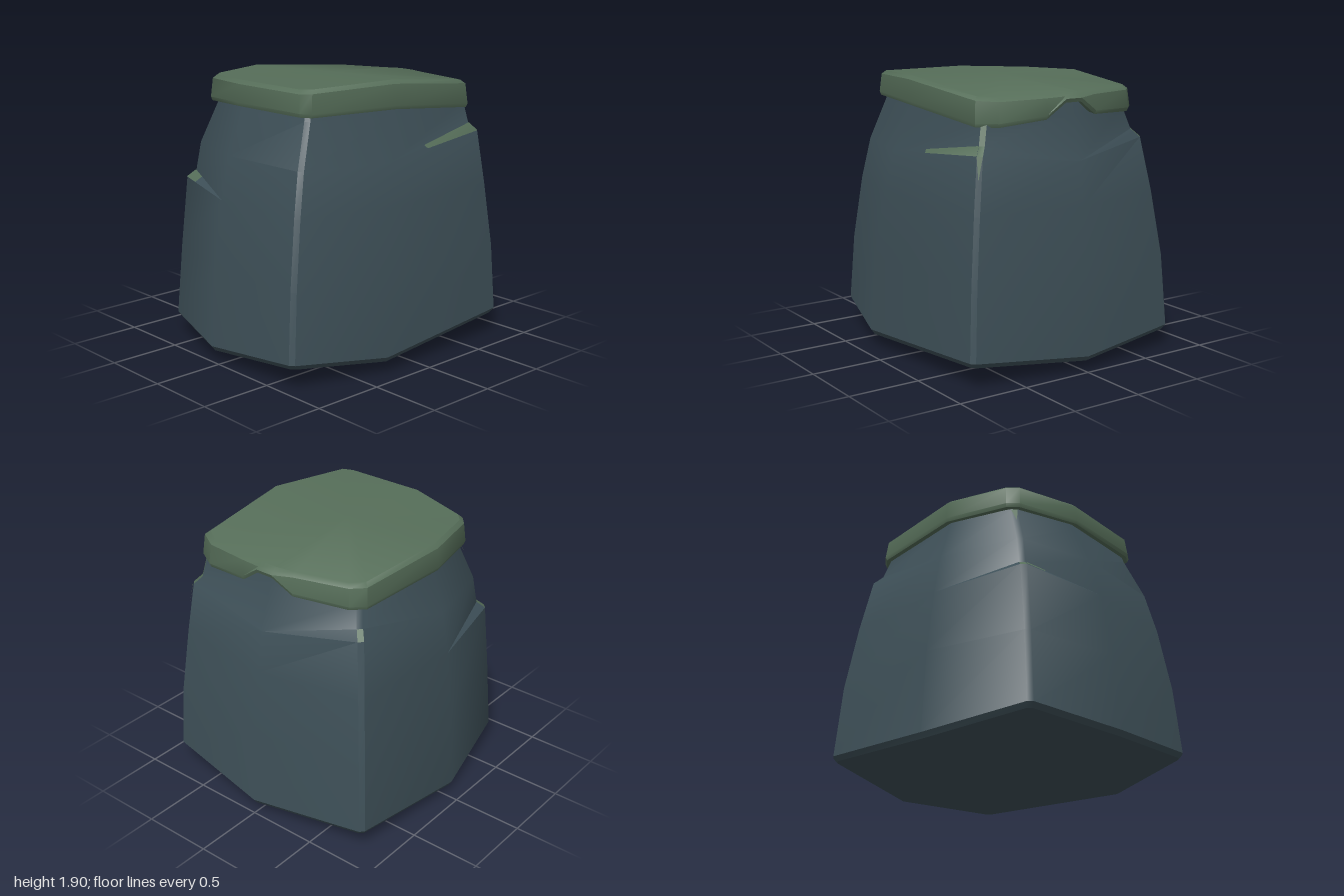
import * as THREE from 'three';
import { toCreasedNormals } from 'three/addons/utils/BufferGeometryUtils.js';

const lerp = THREE.MathUtils.lerp;

// Horizontal taper of the boulder: [height, share of the way from base to top outline]
const TAPER = [[0, 0], [0.2, 0], [0.65, 0.13], [1.1, 0.37], [1.47, 0.66], [1.68, 1], [1.8, 1.12]];
function taper(y) {
  for (let i = 1; i < TAPER.length; i++) {
    const [y0, s0] = TAPER[i - 1], [y1, s1] = TAPER[i];
    if (y <= y1) return lerp(s0, s1, (y - y0) / (y1 - y0));
  }
  return 1.12;
}

// Eight columns around the boulder, starting front right and running to the left.
// base and top are [x, z]; low and high are ledges as [y under, y over, scale under, scale over]
const plainLow = [1.1, 1.1, 1, 1], plainHigh = [1.39, 1.39, 1, 1];
const ledge = [1.47, 1.525, 1.015, 0.975];
const COLUMNS = [
  { base: [-0.97, 0.71], top: [-0.68, 0.54], y: 0.18, corner: true },
  { base: [-0.3, 0.9], top: [-0.06, 0.69], y: 0.12 },
  { base: [0.88, 0.83], top: [0.715, 0.63], y: 0.18, corner: true, high: ledge },
  { base: [1, 0], top: [0.785, -0.02], y: 0.11 },
  { base: [0.85, -0.83], top: [0.6, -0.6], y: 0.15, corner: true, high: ledge },
  { base: [-0.06, -0.91], top: [-0.06, -0.68], y: 0.08 },
  { base: [-0.8, -0.74], top: [-0.53, -0.56], y: 0.15, corner: true, low: [1.14, 1.19, 1.04, 0.985] },
  { base: [-1, -0.07], top: [-0.68, -0.1], y: 0.11 },
];

// Split each corner column in two to bevel the upright edges
function bevelColumns() {
  const shift = (a, b, d) => {
    const l = Math.hypot(b[0] - a[0], b[1] - a[1]);
    return [a[0] + (b[0] - a[0]) * d / l, a[1] + (b[1] - a[1]) * d / l];
  };
  return COLUMNS.flatMap((c, i) => {
    if (!c.corner) return [{ ...c, id: i }];
    return [COLUMNS[(i + 7) % 8], COLUMNS[(i + 1) % 8]].map((n, k) => ({
      ...c, id: i, first: k === 0,
      base: shift(c.base, n.base, 0.025), top: shift(c.top, n.top, 0.025),
    }));
  });
}

function at(c, y, scale = 1) {
  const s = taper(y);
  return new THREE.Vector3(lerp(c.base[0], c.top[0], s) * scale, y, lerp(c.base[1], c.top[1], s) * scale);
}

function triangle(list, a, b, c) {
  const area = b.clone().sub(a).cross(c.clone().sub(a)).length();
  if (area > 1e-7) for (const p of [a, b, c]) list.push(p.x, p.y, p.z);
}

// Join rings of points from bottom to top; pick chooses the face list for each quad
function loft(rings, pick) {
  for (let i = 0; i < rings.length - 1; i++) {
    const n = rings[i].length;
    for (let j = 0; j < n; j++) {
      const k = (j + 1) % n, list = pick(i, j);
      triangle(list, rings[i][j], rings[i][k], rings[i + 1][k]);
      triangle(list, rings[i][j], rings[i + 1][k], rings[i + 1][j]);
    }
  }
}

function fan(list, ring, centre, up) {
  ring.forEach((p, j) => {
    const q = ring[(j + 1) % ring.length];
    if (up) triangle(list, p, q, centre);
    else triangle(list, q, p, centre);
  });
}

function mesh(name, list, material) {
  const g = new THREE.BufferGeometry();
  g.setAttribute('position', new THREE.Float32BufferAttribute(list, 3));
  const m = new THREE.Mesh(toCreasedNormals(g, 0.6), material);
  m.name = name;
  return m;
}

export function createModel() {
  const group = new THREE.Group();
  group.name = 'mossyBoulder';
  const stone = new THREE.MeshStandardMaterial({ name: 'slateStone', color: 0x3e5058 });
  const moss = new THREE.MeshStandardMaterial({ name: 'moss', color: 0x566e59 });

  // Boulder body with ledges broken out of three corners
  const stoneFaces = [], mossFaces = [];
  const cols = bevelColumns();
  const stacks = cols.map((c) => {
    const lo = c.low || plainLow, hi = c.high || plainHigh;
    const sunk = at(c, c.y);
    sunk.set(sunk.x * 0.975, c.y - 0.035, sunk.z * 0.975);
    return [sunk, at(c, c.y), at(c, 0.65), at(c, lo[0], lo[2]), at(c, lo[1], lo[3]),
      at(c, hi[0], hi[2]), at(c, hi[1], hi[3]), at(c, 1.68), at(c, 1.78)];
  });
  const rings = stacks[0].map((_, i) => stacks.map((s) => s[i]));
  loft(rings, (i, j) => {
    const c = cols[j];
    const mossy = c.first && ((c.id === 2 && i >= 5) || (c.id === 6 && i === 3) || (c.id === 4 && i === 5));
    return mossy ? mossFaces : stoneFaces;
  });
  fan(stoneFaces, rings[0], new THREE.Vector3(-0.1, 0, -0.03), false);
  group.add(mesh('boulder', stoneFaces, stone));

  // Moss slivers lying along the ledges and running down the front corner
  function sliver(corner, neighbour, level, reach) {
    const a = stacks[corner][level], b = stacks[corner][level + 1];
    const out = b.clone().setY(0).normalize().multiplyScalar(0.003).setY(0.003);
    const [p, q, r, s] = [a, b, b.clone().lerp(stacks[neighbour][level + 1], reach),
      a.clone().lerp(stacks[neighbour][level], reach)].map((v) => v.clone().add(out));
    if (neighbour < corner) {
      triangle(mossFaces, s, p, q);
      triangle(mossFaces, s, q, r);
    } else {
      triangle(mossFaces, p, s, r);
      triangle(mossFaces, p, r, q);
    }
  }
  const find = (id, first) => cols.findIndex((c) => c.id === id && (c.first ?? true) === first);
  const frontCorner = find(2, true), backCorner = find(6, false);
  sliver(frontCorner, find(1, true), 5, 0.6);
  sliver(backCorner, find(7, true), 3, 0.25);

  function drip(j, yTop, yBottom, scale) {
    const p = at(cols[j], yTop, scale), q = at(cols[j + 1], yTop, scale);
    const r = at(cols[j], yBottom, scale).lerp(at(cols[j + 1], yBottom, scale), 0.5);
    triangle(mossFaces, r, q, p);
  }
  drip(frontCorner, 1.47, 1.32, 1.02);
  drip(find(6, true), 1.68, 1.56, 1.012);
  group.add(mesh('mossStreaks', mossFaces, moss));

  // Moss cap: [x, z, lower edge height, upper edge height]
  const rim = [
    [-0.7, 0.5, 1.71, 1.88], [-0.66, 0.57, 1.71, 1.885], [-0.06, 0.705, 1.715, 1.905],
    [0.67, 0.66, 1.64, 1.83], [0.745, 0.53, 1.635, 1.82],
    [0.785, 0.2, 1.665, 1.825], [0.8, 0.06, 1.765, 1.83], [0.8, -0.06, 1.765, 1.83], [0.77, -0.2, 1.67, 1.825],
    [0.66, -0.56, 1.65, 1.82], [0.58, -0.64, 1.65, 1.82], [-0.06, -0.71, 1.69, 1.87],
    [-0.5, -0.61, 1.68, 1.86], [-0.57, -0.55, 1.68, 1.86], [-0.7, -0.1, 1.71, 1.88],
  ];
  const capRing = (scale, height) => rim.map((p) =>
    new THREE.Vector3(p[0] * scale, height(p), p[1] * scale));
  const capRings = [
    capRing(0.93, (p) => p[2] + 0.015),
    capRing(1.012, (p) => p[2]),
    capRing(1.025, (p) => p[2] + 0.025),
    capRing(1.005, (p) => p[3] - 0.025),
    capRing(0.965, (p) => p[3]),
  ];
  const capFaces = [];
  loft(capRings, () => capFaces);
  fan(capFaces, capRings[4], new THREE.Vector3(-0.03, 1.885, 0), true);
  group.add(mesh('mossCap', capFaces, moss));

  return group;
}
